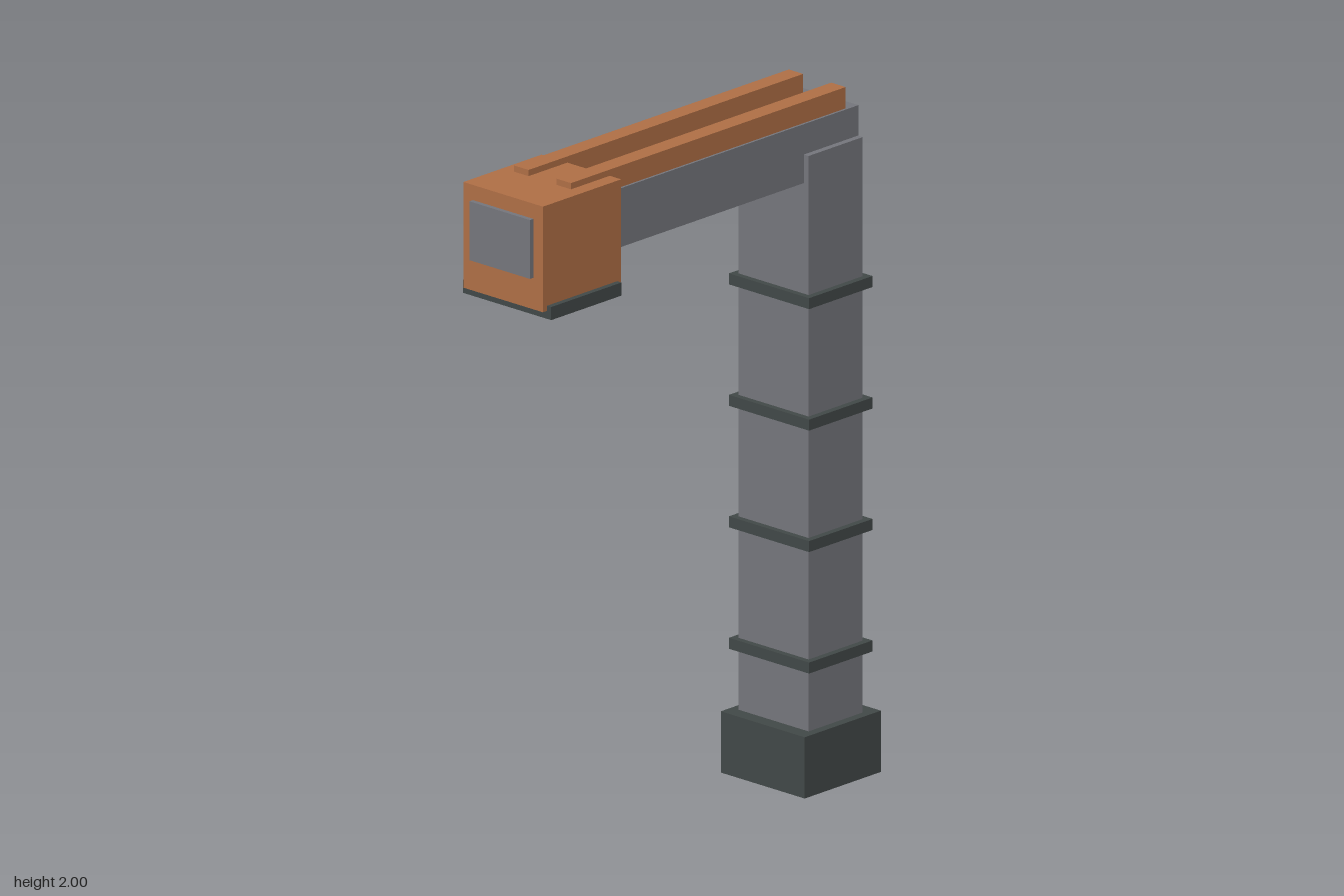
import * as THREE from 'three';

const material = (name, color) => {
  const m = new THREE.MeshStandardMaterial({ color });
  m.name = name;
  return m;
};

export function createModel() {
  const grey = material('steel grey', 0x74757b);
  const dark = material('dark iron', 0x414847);
  const orange = material('copper orange', 0xae6e45);
  const green = material('green', 0x3c6b41);

  const model = new THREE.Group();
  model.name = 'postWithArm';

  // Adds a box given its extents on each axis
  const box = (name, mat, [x0, x1], [y0, y1], [z0, z1]) => {
    const mesh = new THREE.Mesh(new THREE.BoxGeometry(x1 - x0, y1 - y0, z1 - z0), mat);
    mesh.position.set((x0 + x1) / 2, (y0 + y1) / 2, (z0 + z1) / 2);
    mesh.name = name;
    model.add(mesh);
  };
  const wide = (half) => [-half, half];

  // Upright column on its foot, with a conduit up the back
  box('base', dark, wide(0.158), [0, 0.178], [-0.658, -0.353]);
  box('column', grey, wide(0.132), [0.17, 1.85], [-0.613, -0.396]);
  box('backConduit', grey, wide(0.05), [0.178, 1.147], [-0.7, -0.605]);

  // Clamping bands around the column
  for (let i = 0; i < 4; i++) {
    const y = 0.371 + i * 0.353;
    box('band' + (i + 1), dark, wide(0.151), [y - 0.016, y + 0.016], [-0.632, -0.378]);
  }

  // Horizontal arm with two rails on top and a strip along its right side
  box('arm', grey, wide(0.114), [1.767, 1.938], [-0.615, 0.7]);
  for (const side of [-1, 1]) {
    const x = side * 0.08;
    box(side < 0 ? 'rightRail' : 'leftRail', orange,
      [x - 0.027, x + 0.027], [1.935, 2], [-0.571, 0.528]);
  }
  box('sideStrip', green, [-0.16, -0.11], [1.81, 1.848], [-0.44, 0.26]);

  // Head at the end of the arm and the plate beneath it
  box('head', orange, wide(0.15), [1.675, 1.982], [0.373, 0.686]);
  box('headPlate', dark, wide(0.166), [1.652, 1.69], [0.389, 0.67]);

  return model;
}
